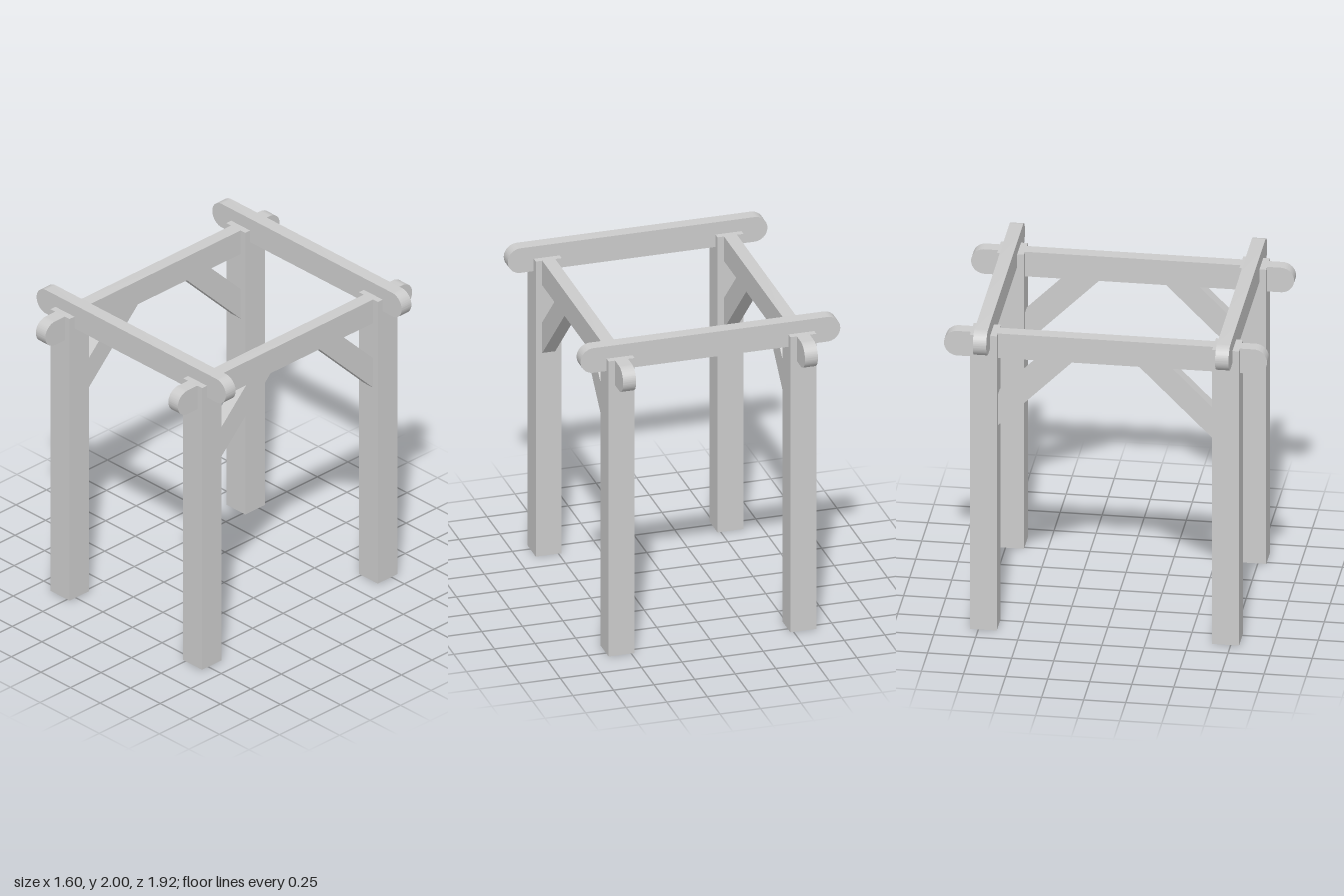
import * as THREE from 'three';
import { toCreasedNormals } from 'three/addons/utils/BufferGeometryUtils.js';

const POST_X = 0.56, POST_Z = 0.72, POST_WIDTH = 0.16, POST_HEIGHT = 1.92;
const BEAM_THICKNESS = 0.08, BEAM_RADIUS = 0.08;

// Board of beam thickness cut from a shape, centred on its own plane
function board(shape) {
  const geometry = new THREE.ExtrudeGeometry(shape, {
    depth: BEAM_THICKNESS, bevelEnabled: false, curveSegments: 24,
  });
  geometry.translate(0, 0, -BEAM_THICKNESS / 2);
  return toCreasedNormals(geometry, Math.PI / 6);
}

// Long beam profile with half-round ends
function beamShape(halfLength) {
  const c = halfLength - BEAM_RADIUS;
  const shape = new THREE.Shape();
  shape.moveTo(-c, -BEAM_RADIUS);
  shape.lineTo(c, -BEAM_RADIUS);
  shape.absarc(c, 0, BEAM_RADIUS, -Math.PI / 2, Math.PI / 2, false);
  shape.lineTo(-c, BEAM_RADIUS);
  shape.absarc(-c, 0, BEAM_RADIUS, Math.PI / 2, Math.PI * 1.5, false);
  return shape;
}

export function createModel() {
  const model = new THREE.Group();
  model.name = 'pergolaFrame';
  const material = new THREE.MeshStandardMaterial({ color: 0xcccccc });

  const add = (name, geometry, x, y, z, turn = 0) => {
    const mesh = new THREE.Mesh(geometry, material);
    mesh.name = name;
    mesh.position.set(x, y, z);
    mesh.rotation.y = turn;
    model.add(mesh);
  };

  const post = new THREE.BoxGeometry(POST_WIDTH, POST_HEIGHT, POST_WIDTH);
  const crossBeam = board(beamShape(0.8));
  const sideBeam = board(beamShape(0.96));

  // Diagonal brace, mitred against the post and the side beam
  const brace = board(new THREE.Shape([
    new THREE.Vector2(0.64, 1.32), new THREE.Vector2(0.64, 1.52),
    new THREE.Vector2(0.4, 1.76), new THREE.Vector2(0.2, 1.76),
  ]));

  for (const [side, sx] of [['left', 1], ['right', -1]]) {
    add(`${side}SideBeam`, sideBeam, sx * POST_X, 1.84, 0, -Math.PI / 2);
    for (const [end, sz] of [['Front', 1], ['Back', -1]]) {
      add(`${side}${end}Post`, post, sx * POST_X, POST_HEIGHT / 2, sz * POST_Z);
      add(`${side}${end}Brace`, brace, sx * POST_X, 0, 0, -sz * Math.PI / 2);
    }
  }

  // Upper beams spanning the front and back pairs of posts
  add('frontCrossBeam', crossBeam, 0, 1.92, POST_Z);
  add('backCrossBeam', crossBeam, 0, 1.92, -POST_Z);

  return model;
}
